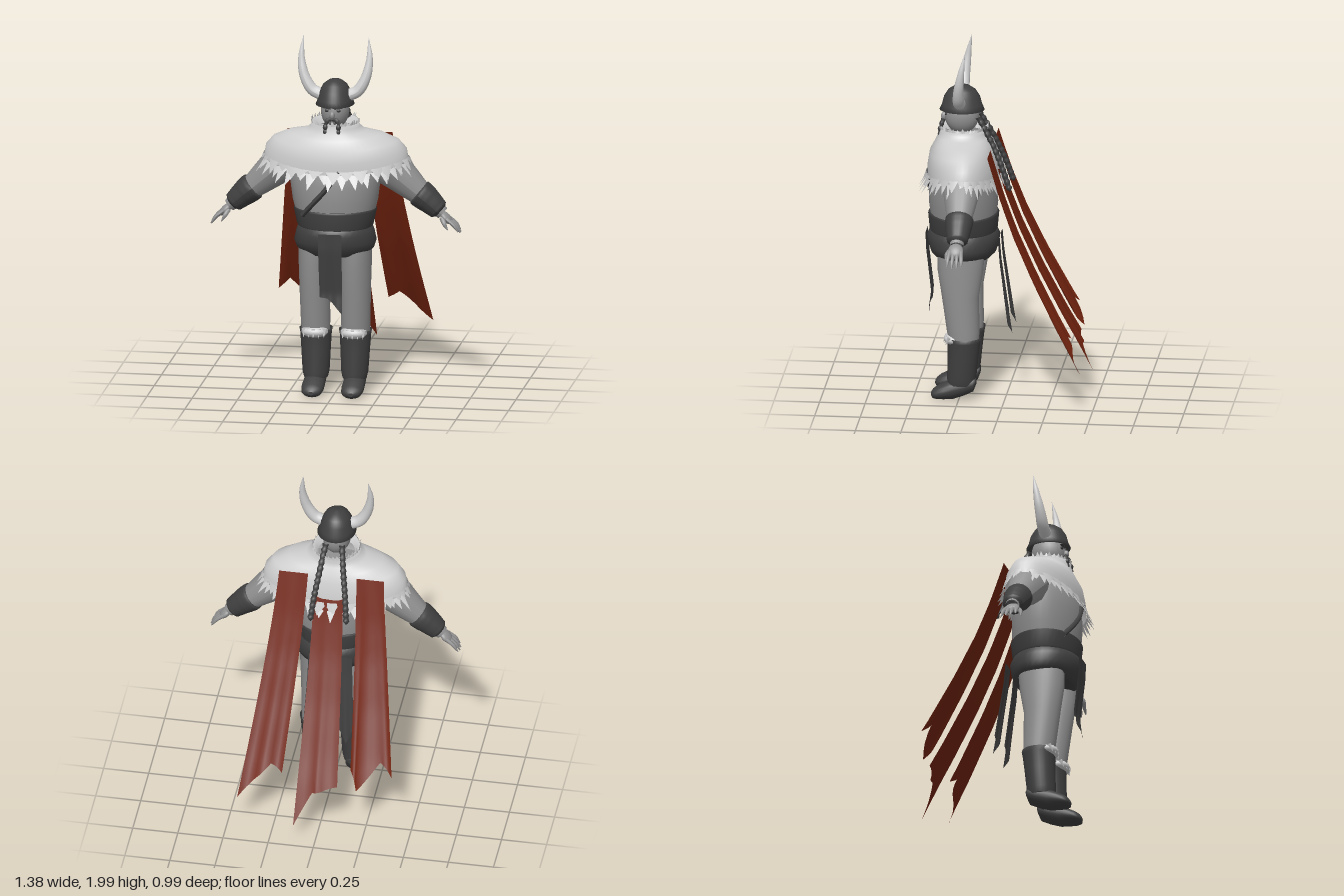
import * as THREE from 'three';

const V = (x, y, z) => new THREE.Vector3(x, y, z);
const mat = (name, color, side = THREE.FrontSide) => {
  const m = new THREE.MeshStandardMaterial({ color, side });
  m.name = name;
  return m;
};

export function createModel() {
  const model = new THREE.Group();
  const fur = mat('pale fur', 0xcecece, THREE.DoubleSide);
  const skin = mat('grey skin', 0x929292);
  const dark = mat('dark leather', 0x404040, THREE.DoubleSide);
  const red = mat('rust cloth', 0x74240f, THREE.DoubleSide);

  const add = (name, geo, material) => {
    const m = new THREE.Mesh(geo, material);
    m.name = name;
    model.add(m);
    return m;
  };
  let seed = 7;
  const rnd = () => (seed = (seed * 16807) % 2147483647) / 2147483647;

  // surface through rows of points, optionally closed around and capped at the ends
  const skinRows = (rows, closed = true, caps = closed) => {
    const n = rows[0].length, pts = rows.flat(), idx = [];
    for (let i = 0; i < rows.length - 1; i++)
      for (let j = 0; j < (closed ? n : n - 1); j++) {
        const a = i * n + j, b = i * n + (j + 1) % n;
        idx.push(a, b, b + n, a, b + n, a + n);
      }
    if (caps) for (const [row, flip] of [[0, true], [rows.length - 1, false]]) {
      const start = pts.length, c = V(0, 0, 0);
      rows[row].forEach(p => { c.addScaledVector(p, 1 / n); pts.push(p); });
      pts.push(c);
      for (let j = 0; j < n; j++) {
        const a = start + j, b = start + (j + 1) % n;
        idx.push(start + n, flip ? b : a, flip ? a : b);
      }
    }
    const g = new THREE.BufferGeometry().setFromPoints(pts);
    g.setIndex(idx);
    g.computeVertexNormals();
    return g;
  };
  // stacked ellipses: [y, cx, cz, rx, rz]
  const stack = (rows, n = 28) => skinRows(rows.map(([y, cx, cz, rx, rz]) =>
    Array.from({ length: n }, (_, j) => {
      const a = j / n * Math.PI * 2;
      return V(cx + rx * Math.sin(a), y, cz + rz * Math.cos(a));
    })));
  // tapered tube along a curve, radii spread evenly over its length
  const limb = (pts, radii, seg = 14, steps = 20) => {
    const curve = new THREE.CatmullRomCurve3(pts.map(p => V(...p)));
    const g = new THREE.TubeGeometry(curve, steps, 1, seg);
    const p = g.attributes.position, v = V(0, 0, 0);
    for (let i = 0; i <= steps; i++) {
      const t = i / steps, c = curve.getPointAt(t), k = t * (radii.length - 1);
      const f = Math.min(Math.floor(k), radii.length - 2);
      const r = THREE.MathUtils.lerp(radii[f], radii[f + 1], k - f);
      for (let j = 0; j <= seg; j++) {
        const q = i * (seg + 1) + j;
        v.fromBufferAttribute(p, q).sub(c).multiplyScalar(r).add(c);
        p.setXYZ(q, v.x, v.y, v.z);
      }
    }
    g.computeVertexNormals();
    return g;
  };
  const ball = (name, x, y, z, rx, ry, rz, m) => {
    const b = add(name, new THREE.SphereGeometry(1, 24, 16), m);
    b.position.set(x, y, z);
    b.scale.set(rx, ry, rz);
    return b;
  };

  // torso and two-tier belt
  add('torso', stack([[1, 0, .235, .21, .175], [1.1, 0, .235, .235, .188], [1.2, 0, .237, .248, .187],
    [1.3, 0, .235, .25, .175], [1.42, 0, .23, .2, .13]], 36), skin);
  add('lowerBelt', stack([[.80, 0, .235, .175, .15], [.83, 0, .235, .212, .178], [.87, 0, .235, .226, .192],
    [.92, 0, .235, .215, .2], [.95, 0, .235, .205, .185], [.965, 0, .235, .19, .17]], 36), dark);
  add('upperBelt', stack([[.945, 0, .235, .198, .178], [.96, 0, .235, .21, .186],
    [1.045, 0, .235, .228, .194], [1.055, 0, .235, .222, .188]], 36), dark);
  const strapPts = [[-.16, 1.03], [-.1, 1.1], [-.03, 1.18], [.05, 1.29]].map(([x, y]) =>
    [x, y, .237 + .189 * Math.sqrt(1 - (x / .242) ** 2)]);
  add('chestStrap', limb(strapPts, [.014, .014], 8), dark);

  // hanging cloth: grid between a straight top edge and a ragged bottom edge
  const cloth = (name, xs, top, bottom, depth, wave, m) => {
    const rows = [];
    for (let i = 0; i <= 16; i++) rows.push(Array.from({ length: 13 }, (_, j) => {
      const t = 1 - i / 16, u = j / 12, k = u * (bottom.length - 1);
      const f = Math.min(Math.floor(k), bottom.length - 2), e = bottom[f], h = bottom[f + 1];
      const x = THREE.MathUtils.lerp(e[0], h[0], k - f), y0 = THREE.MathUtils.lerp(e[1], h[1], k - f);
      const y = THREE.MathUtils.lerp(top, y0, t);
      const tx = THREE.MathUtils.lerp(xs[0], xs[1], u);
      return V(THREE.MathUtils.lerp(tx, x, t ** 1.2), y, depth(y) + wave * t * Math.sin(u * Math.PI * 3));
    }));
    add(name, skinRows(rows, false), m);
  };
  const table = list => y => {
    let i = 0;
    while (i < list.length - 2 && y < list[i + 1][0]) i++;
    const [a, b] = [list[i], list[i + 1]];
    return a[1] + (b[1] - a[1]) * (y - a[0]) / (b[0] - a[0]);
  };
  const capeZ = table([[1.45, .078], [1.2, 0], [1, -.075], [.76, -.185], [.5, -.32], [.35, -.405], [.15, -.51]]);
  cloth('capeRight', [-.29, -.14], 1.44, [[-.41, .43], [-.34, .5], [-.22, .35], [-.18, .45]], capeZ, .014, red);
  cloth('capeMiddle', [-.07, .09], 1.36, [[-.115, .36], [-.03, .33], [.02, .32], [.11, .15]], capeZ, .008, red);
  cloth('capeLeft', [.13, .29], 1.44, [[.195, .4], [.26, .44], [.34, .36], [.43, .26]], capeZ, .012, red);
  cloth('frontFlap', [-.065, .065], .94, [[-.06, .58], [-.02, .575], [.02, .54], [.065, .49]],
    table([[.94, .438], [.85, .435], [.6, .405], [.49, .418]]), .006, dark);
  for (const s of [-1, 1])
    cloth('backFlap', [s * .12, s * .03], .92, [[s * .14, .48], [s * .1, .39], [s * .04, .5]],
      table([[.92, .035], [.8, .025], [.39, -.035]]), .008, dark);

  // fur mantle: [rx, front depth, back depth, cz, y at front and back, y at sides]
  const rings = [[.4, .23, .17, .2, 1.27, 1.32], [.388, .23, .165, .2, 1.33, 1.385], [.345, .212, .152, .207, 1.4, 1.435],
    [.26, .178, .142, .215, 1.45, 1.472], [.165, .148, .136, .23, 1.482, 1.487], [.135, .135, .132, .235, 1.51, 1.51],
    [.125, .128, .132, .235, 1.54, 1.54], [.1, .1, .105, .235, 1.5, 1.5]];
  const ringAt = ([rx, rf, rb, cz, yf, ys], a) => {
    const s = Math.sin(a), c = Math.cos(a);
    return V(rx * s, yf + (ys - yf) * s * s, cz + (c > 0 ? rf : rb) * c);
  };
  add('furMantle', skinRows(rings.map(r =>
    Array.from({ length: 56 }, (_, j) => ringAt(r, j / 56 * Math.PI * 2))), true, false), fur);

  // ragged tufts, each a small folded triangle
  const tufts = (name, ring, count, width, out, drop) => {
    const pts = [], idx = [];
    for (let k = 0; k < count; k++) {
      const a = (k + rnd() * .5) / count * Math.PI * 2, w = width * Math.PI / count;
      const len = .55 + rnd() * .6;
      const dir = V(Math.sin(a), 0, Math.cos(a));
      const mid = ringAt(ring, a), o = k * 4;
      pts.push(ringAt(ring, a - w), mid.clone().addScaledVector(dir, .006), ringAt(ring, a + w),
        mid.clone().addScaledVector(dir, out * len).add(V((rnd() - .5) * .02, -drop * len, 0)));
      idx.push(o, o + 3, o + 1, o + 1, o + 3, o + 2);
    }
    const g = new THREE.BufferGeometry().setFromPoints(pts);
    g.setIndex(idx);
    g.computeVertexNormals();
    add(name, g, fur);
  };
  tufts('lowerTufts', rings[0], 42, 1.15, .048, .075);
  tufts('upperTufts', [.397, .232, .17, .2, 1.29, 1.34], 30, 1.1, .03, .07);
  tufts('collarTufts', [.127, .13, .133, .235, 1.53, 1.53], 36, 1.2, .006, -.03);

  // head, face and helmet
  ball('head', 0, 1.6, .245, .078, .105, .095, skin);
  ball('nose', 0, 1.588, .343, .014, .022, .018, skin);
  const dome = [[.001, 1.772], [.035, 1.765], [.065, 1.742], [.085, 1.705], [.095, 1.66], [.106, 1.632], [.09, 1.632], [.08, 1.66]];
  const helmet = add('helmet', new THREE.LatheGeometry(dome.reverse().map(p => new THREE.Vector2(...p)), 36), dark);
  helmet.scale.z = 1.16;
  helmet.position.z = .244;

  for (const s of [-1, 1]) {
    ball('eye', s * .03, 1.612, .328, .014, .01, .008, dark);
    const brow = add('brow', new THREE.BoxGeometry(.045, .01, .015), dark);
    brow.position.set(s * .032, 1.628, .333);
    brow.rotation.z = s * .2;
    add('moustache', limb([[s * .004, 1.566, .345], [s * .025, 1.562, .35], [s * .036, 1.53, .358]], [.01, .013, .008], 8), dark);
    for (let i = 0; i < 3; i++)
      ball('beardBraid', s * .036, 1.525 - i * .027, .36, .014 - i * .001, .018, .014, dark);
    add('horn', limb([[s * .08, 1.685, .25], [s * .125, 1.708, .25], [s * .168, 1.78, .246], [s * .188, 1.88, .232], [s * .18, 2, .21]],
      [.034, .031, .025, .015, .001], 16, 28), fur);

    // plaited hair hanging down the back
    const plait = Array.from({ length: 25 }, (_, i) => i % 2 ? .013 : .018);
    add('hairBraid', limb([[s * .045, 1.6, .15], [s * .065, 1.47, .078], [s * .085, 1.34, .02], [s * .1, 1.2, -.03]],
      [...plait, .004], 8, 50), dark);

    // arm, bracer and hand
    add('arm', limb([[s * .2, 1.36, .215], [s * .33, 1.255, .212], [s * .455, 1.145, .21], [s * .59, 1.03, .21]],
      [.1, .108, .085, .06, .036]), skin);
    add('bracer', limb([[s * .445, 1.153, .21], [s * .51, 1.1, .21], [s * .58, 1.036, .21]],
      [.04, .077, .078, .076, .074, .07, .067, .064, .06, .057, .03], 18, 20), dark);
    const palm = ball('palm', s * .61, 1.007, .215, .045, .022, .042, skin);
    palm.rotation.z = -s * .78;
    for (let i = 0; i < 4; i++) {
      const z = .186 + i * .02, l = [.9, 1, 1, .88][i];
      add('finger', limb([[s * .615, 1.005, z], [s * (.615 + .045 * l), 1.005 - .035 * l, z + (i - 1.5) * .004],
        [s * (.615 + .075 * l), 1.005 - .077 * l, z + (i - 1.5) * .006]], [.013, .011, .01, .003], 8, 10), skin);
    }
    add('thumb', limb([[s * .59, 1.01, .24], [s * .605, .985, .262], [s * .625, .95, .27]], [.014, .013, .003], 8, 10), skin);

    // leg, boot and fur knee tuft
    add('leg', stack([[.3, s * .11, .22, .075, .075], [.4, s * .111, .226, .08, .09], [.6, s * .113, .242, .083, .102],
      [.74, s * .114, .241, .086, .125], [.84, s * .114, .238, .086, .13]]), skin);
    add('bootShaft', stack([[.095, s * .107, .237, .066, .076], [.13, s * .107, .235, .074, .08], [.24, s * .108, .228, .08, .084],
      [.34, s * .109, .222, .086, .09], [.365, s * .109, .222, .091, .095], [.35, s * .109, .222, .08, .085]]), dark);
    // foot sections: [z, centre y, rx, ry]
    add('foot', skinRows([[.155, .115, .03, .02], [.17, .1, .05, .045], [.22, .085, .058, .055], [.28, .067, .06, .058],
      [.33, .053, .062, .047], [.37, .042, .057, .036], [.392, .036, .042, .025], [.402, .034, .015, .01]].map(([z, y, rx, ry]) =>
      Array.from({ length: 22 }, (_, j) => {
        const a = j / 22 * Math.PI * 2;
        return V(s * .11 + rx * Math.cos(a), Math.max(0, y + ry * Math.sin(a)), z);
      }))), dark);
    ball('kneeFur', s * .108, .355, .275, .074, .035, .058, fur);
    for (let i = -2; i <= 2; i++) {
      const tuft = add('kneeTuft', new THREE.ConeGeometry(.016, .05, 5), fur);
      tuft.position.set(s * .108 + i * .028, .35, .325 - Math.abs(i) * .009);
      tuft.rotation.x = Math.PI - .5;
    }
  }
  return model;
}
